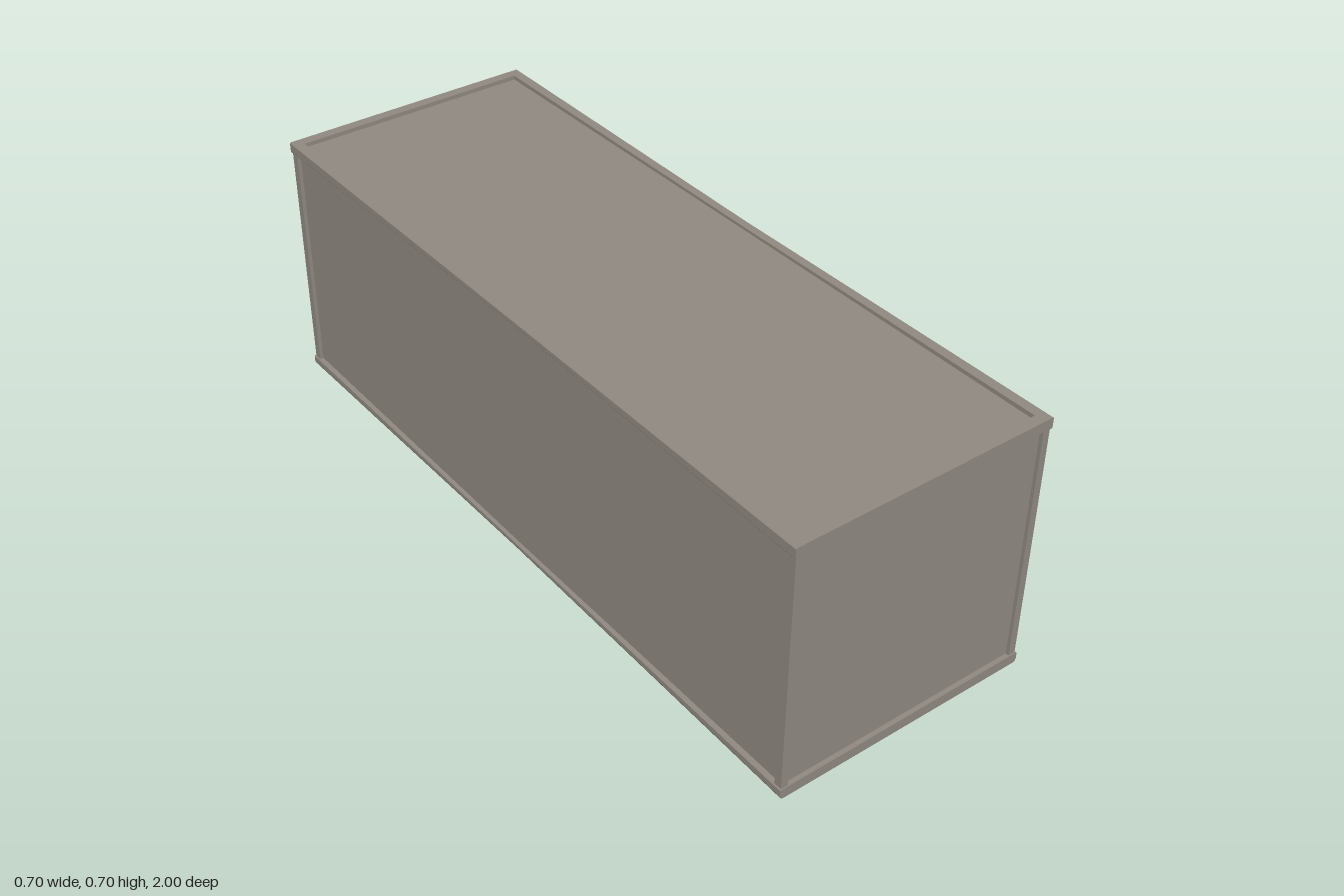
import * as THREE from 'three';

const H = 0.70, X = 0.352, Z = 1, BAR = 0.028;

export function createModel() {
  const group = new THREE.Group();
  const grey = new THREE.MeshStandardMaterial({ color: 0x8f8981, flatShading: true });
  grey.name = 'warm grey';

  const add = (name, geometry, x = 0, y = 0, z = 0) => {
    const mesh = new THREE.Mesh(geometry, grey);
    mesh.name = name;
    mesh.position.set(x, y, z);
    group.add(mesh);
  };

  // Long rail: cross-section swept along z, worn slightly thinner towards the middle
  const longRail = (side, top) => {
    const c = top ? 0.002 : 0.009;
    const y0 = top ? H - BAR : 0.005, y1 = y0 + BAR;
    const outline = [
      [X - BAR, y0], [X - c, y0], [X - c * 0.3, y0 + c * 0.3], [X, y0 + c],
      [X, y1 - 0.002], [X - 0.002, y1], [X - BAR, y1],
    ];
    const shape = new THREE.Shape(outline.map(([x, y]) => new THREE.Vector2(side * x, y)));
    const geometry = new THREE.ExtrudeGeometry(shape, { depth: 2 * Z, steps: 8, bevelEnabled: false });
    geometry.translate(0, 0, -Z);
    const p = geometry.attributes.position;
    const mid = (y0 + y1) / 2;
    for (let i = 0; i < p.count; i++) {
      const wear = 1 - Math.abs(p.getZ(i)) / Z;
      const y = p.getY(i);
      const shift = y < mid ? (top ? 0.012 : 0.003) : (top ? -0.004 : -0.006);
      p.setY(i, y + shift * wear);
      if (Math.abs(p.getX(i)) > X - 0.015) p.setX(i, p.getX(i) - side * 0.005 * wear);
    }
    geometry.computeVertexNormals();
    return geometry;
  };

  // Recessed panels form the closed body
  add('bodyPanels', new THREE.BoxGeometry(0.676, 0.672, 1.976), 0, 0.3525, 0);

  for (const side of [-1, 1]) {
    add('topLongRail', longRail(side, true));
    add('bottomLongRail', longRail(side, false));

    // Cross rails at the front and back
    const endRail = new THREE.BoxGeometry(2 * (X - BAR) + 0.004, BAR, BAR);
    add('topEndRail', endRail, 0, H - BAR / 2, side * (Z - BAR / 2));
    add('bottomEndRail', endRail, 0, 0.005 + BAR / 2, side * (Z - BAR / 2));

    // Corner posts, set just inside the rails
    for (const end of [-1, 1]) {
      add('cornerPost', new THREE.BoxGeometry(0.019, H - 2 * BAR, 0.022),
        side * 0.3385, 0.3525, end * (Z - 0.014));
    }
  }

  // Small feet at the lower corners
  for (const sx of [-1, 1]) for (const sz of [-1, 1]) {
    add('cornerFoot', new THREE.BoxGeometry(0.014, 0.006, 0.014), sx * 0.336, 0.003, sz * 0.986);
  }
  return group;
}
